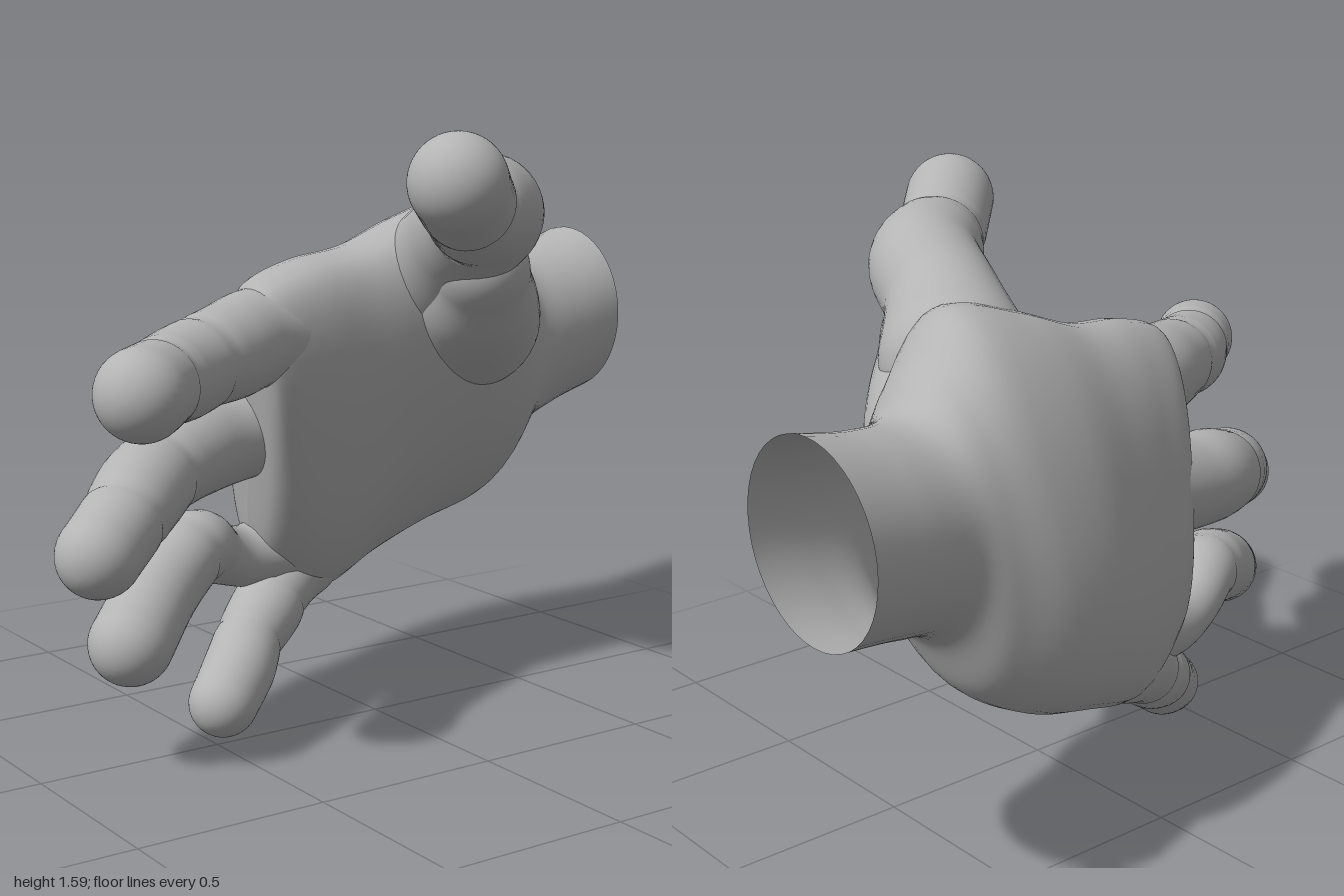
import * as THREE from 'three';

const SIDES = 44;

// Skin a stack of closed rings; ring(k, angle) returns a Vector3
function loft(rows, ring) {
  const pos = [], index = [];
  for (let k = 0; k <= rows; k++) {
    for (let j = 0; j < SIDES; j++) pos.push(...ring(k / rows, (j / SIDES) * Math.PI * 2).toArray());
  }
  for (let k = 0; k < rows; k++) {
    for (let j = 0; j < SIDES; j++) {
      const a = k * SIDES + j, b = k * SIDES + ((j + 1) % SIDES);
      index.push(a, b, b + SIDES, a, b + SIDES, a + SIDES);
    }
  }
  const geo = new THREE.BufferGeometry();
  geo.setAttribute('position', new THREE.Float32BufferAttribute(pos, 3));
  geo.setIndex(index);
  geo.computeVertexNormals();
  return geo;
}

// Smooth interpolation of one column of a table
function sample(table, col, s) {
  const n = table.length - 1;
  const i = Math.min(Math.floor(s), n - 1), f = s - i;
  const p = (k) => table[Math.max(0, Math.min(n, k))][col];
  const a = p(i - 1), b = p(i), c = p(i + 1), d = p(i + 2);
  return b + 0.5 * f * (c - a + f * (2 * a - 5 * b + 4 * c - d + f * (3 * (b - c) + d - a)));
}

// Digit along [x, y, z, radius] points, with round ends and joint creases
function digitGeometry(points, creases) {
  const path = points.map((p) => new THREE.Vector3(p[0], p[1], p[2]));
  const n = path.length - 1;
  const rootR = points[0][3], tipR = points[n][3];
  const dir = path[n].clone().sub(path[n - 1]).normalize();
  path.push(path[n].clone().addScaledVector(dir, tipR));
  const radii = [...points, points[n]];
  const curve = new THREE.CatmullRomCurve3(path);
  const length = curve.getLength();
  const up = new THREE.Vector3(0, 1, 0);
  const dome = (d, r) => (d < r ? Math.sqrt(Math.max(0, 1 - (1 - d / r) ** 2)) : 1);

  return loft(80, (k, angle) => {
    const u = (1 - Math.cos(k * Math.PI)) / 2;
    const s = curve.getUtoTmapping(u) * (path.length - 1);
    let r = sample(radii, 3, s) * dome(u * length, rootR) * dome((1 - u) * length, tipR);
    for (const c of creases) r *= 1 - 0.08 * Math.exp(-(((s - c) / 0.1) ** 2));
    const t = curve.getTangentAt(u);
    const side = t.clone().cross(up).normalize();
    const over = t.clone().cross(side);
    return curve.getPointAt(u)
      .addScaledVector(side, r * Math.cos(angle))
      .addScaledVector(over, r * Math.sin(angle));
  });
}

// Wrist and palm sections: x, y, z, half width, half depth, tilt, shear, palm flatness, roundness
const SECTIONS = [
  [1.0, 1.0, -0.41, 0.248, 0.25, 0, 0, 1, 1],
  [0.82, 0.96, -0.365, 0.245, 0.247, 0, 0, 1, 1],
  [0.66, 0.925, -0.32, 0.27, 0.25, 0.12, 0, 1, 1],
  [0.55, 0.88, -0.29, 0.4, 0.28, 0.27, 0, 0.95, 0.97],
  [0.4, 0.89, -0.27, 0.51, 0.285, 0.36, 0, 0.85, 0.94],
  [0.2, 0.835, -0.25, 0.515, 0.275, 0.32, 0, 0.78, 0.9],
  [0.02, 0.775, -0.22, 0.5, 0.24, 0.27, 0.04, 0.82, 0.86],
  [-0.12, 0.765, -0.195, 0.485, 0.205, 0.28, 0.14, 0.9, 0.82],
  [-0.23, 0.765, -0.175, 0.44, 0.18, 0.32, 0.24, 0.9, 0.8],
  [-0.285, 0.765, -0.165, 0.38, 0.13, 0.36, 0.22, 0.9, 0.8],
  [-0.3, 0.765, -0.16, 0.33, 0.0, 0.36, 0.2, 1, 0.8],
];

function palmGeometry() {
  const bulge = (v, p) => Math.sign(v) * Math.abs(v) ** p;
  return loft(80, (k, angle) => {
    const s = k * (SECTIONS.length - 1);
    const [x, y, z, a, b, tilt, shear, flat, round] = SECTIONS[0].map((_, c) => sample(SECTIONS, c, s));
    const w = a * bulge(Math.cos(angle), round);
    let d = -b * bulge(Math.sin(angle), round);
    if (d > 0) d *= flat;
    return new THREE.Vector3(
      x - shear * w,
      y + w * Math.cos(tilt) - d * Math.sin(tilt),
      z + w * Math.sin(tilt) + d * Math.cos(tilt)
    );
  });
}

// Each digit runs from inside the palm to the centre of its round tip
const DIGITS = {
  thumb: {
    points: [[0.38, 1.13, -0.17, 0.22], [0.28, 1.21, -0.01, 0.195], [0.2, 1.3, 0.14, 0.155],
      [0.155, 1.365, 0.27, 0.15], [0.07, 1.385, 0.35, 0.14], [0.0, 1.4, 0.405, 0.122],
      [-0.135, 1.465, 0.535, 0.122]],
    creases: [5],
  },
  thumbMuscle: {
    points: [[0.48, 0.98, -0.25, 0.22], [0.37, 1.06, -0.06, 0.19], [0.29, 1.13, 0.06, 0.165],
      [0.23, 1.21, 0.16, 0.13]],
    creases: [],
  },
  indexFinger: {
    points: [[-0.06, 1.05, -0.13, 0.14], [-0.34, 1.045, -0.06, 0.13], [-0.46, 1.03, 0.01, 0.125],
      [-0.57, 1.02, 0.07, 0.117], [-0.66, 1.005, 0.12, 0.117], [-0.75, 1.0, 0.19, 0.11],
      [-0.84, 0.99, 0.265, 0.114]],
    creases: [3, 5],
  },
  middleFinger: {
    points: [[-0.06, 0.82, -0.23, 0.14], [-0.34, 0.77, -0.2, 0.128], [-0.47, 0.755, -0.165, 0.13],
      [-0.6, 0.72, -0.1, 0.117], [-0.69, 0.69, -0.03, 0.118], [-0.78, 0.65, 0.05, 0.11],
      [-0.895, 0.59, 0.135, 0.106]],
    creases: [3, 5],
  },
  ringFinger: {
    points: [[-0.03, 0.45, -0.28, 0.12], [-0.24, 0.415, -0.27, 0.088], [-0.35, 0.44, -0.24, 0.082],
      [-0.45, 0.485, -0.18, 0.1], [-0.61, 0.425, -0.08, 0.105], [-0.775, 0.335, 0.06, 0.107]],
    creases: [3.2],
  },
  littleFinger: {
    points: [[0.04, 0.42, -0.33, 0.13], [-0.12, 0.325, -0.28, 0.1], [-0.21, 0.26, -0.23, 0.1],
      [-0.29, 0.21, -0.18, 0.093], [-0.36, 0.15, -0.12, 0.097], [-0.45, 0.093, -0.05, 0.092]],
    creases: [1.5, 3],
  },
};

export function createModel() {
  const hand = new THREE.Group();
  hand.name = 'openHand';
  const skin = new THREE.MeshStandardMaterial({ color: 0xb4b4b4, side: THREE.DoubleSide });
  skin.name = 'plain grey';

  const add = (name, geometry) => {
    const mesh = new THREE.Mesh(geometry, skin);
    mesh.name = name;
    hand.add(mesh);
  };

  add('palmAndWrist', palmGeometry());
  for (const [name, { points, creases }] of Object.entries(DIGITS)) {
    add(name, digitGeometry(points, creases));
  }
  return hand;
}
